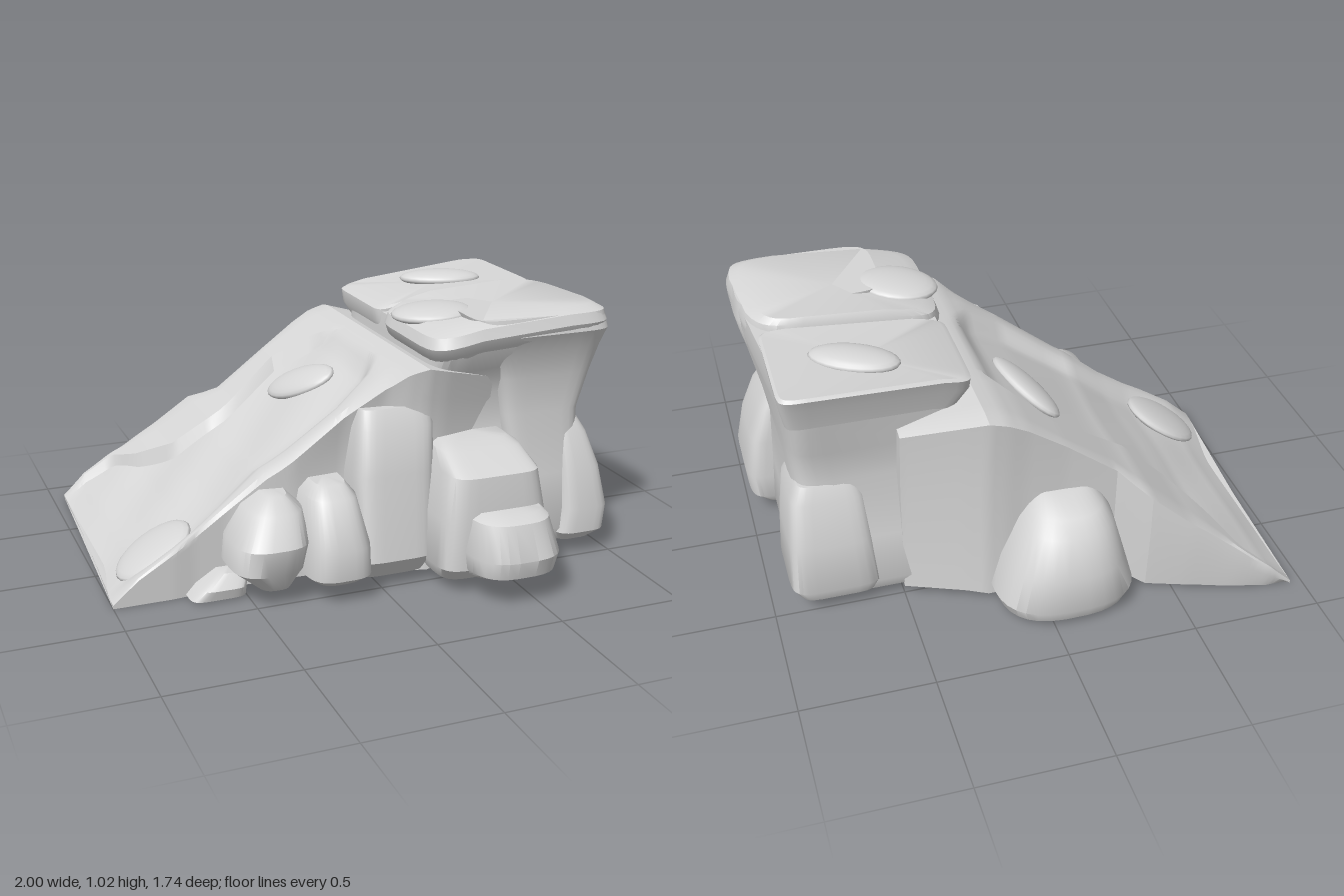
import * as THREE from 'three';
import { toCreasedNormals } from 'three/addons/utils/BufferGeometryUtils.js';

const stone = new THREE.MeshStandardMaterial({ color: 0xd6d6d6 });
stone.name = 'stone grey';

const step = (v, a, b) => THREE.MathUtils.smoothstep(v, a, b);

// Skin a stack of equal-length rings and close both ends.
function loft(rings, crease = 0.65) {
  const n = rings[0].length, pos = [], idx = [];
  rings.forEach(r => r.forEach(p => pos.push(...p)));
  for (let i = 0; i < rings.length - 1; i++) {
    for (let j = 0; j < n; j++) {
      const a = i * n + j, b = i * n + (j + 1) % n, c = b + n, d = a + n;
      idx.push(a, d, c, a, c, b);
    }
  }
  [0, rings.length - 1].forEach(i => {
    const c = pos.length / 3;
    pos.push(...[0, 1, 2].map(m => rings[i].reduce((s, p) => s + p[m], 0) / n));
    for (let j = 0; j < n; j++) {
      const a = i * n + j, b = i * n + (j + 1) % n;
      if (i) idx.push(c, b, a); else idx.push(c, a, b);
    }
  });
  const geo = new THREE.BufferGeometry();
  geo.setAttribute('position', new THREE.Float32BufferAttribute(pos, 3));
  geo.setIndex(idx);
  return toCreasedNormals(geo, crease);
}

// Rounded-block stone: each layer is [y, x0, x1, z0, z1]; warp may bend points.
function rockGeometry(layers, power = 5, warp = p => p) {
  const n = 32;
  const se = v => Math.sign(v) * Math.abs(v) ** (2 / power);
  return loft(layers.map(([y, x0, x1, z0, z1]) => Array.from({ length: n }, (_, j) => {
    const t = (j + 0.5) / n * Math.PI * 2;
    return warp([
      (x0 + x1) / 2 + se(Math.cos(t)) * (x1 - x0) / 2,
      y,
      (z0 + z1) / 2 + se(Math.sin(t)) * (z1 - z0) / 2,
    ]);
  })));
}

// Stations of the ramp: x, back z, front z, top y, bottom y, channel back z, channel front z
const STATIONS = [
  [-1.00, -0.87, 0.31, 0.015, 0.00, -0.85, 0.25],
  [-0.90, -0.87, 0.31, 0.105, 0.00, -0.85, 0.26],
  [-0.76, -0.84, 0.31, 0.195, 0.00, -0.81, 0.26],
  [-0.68, -0.82, 0.30, 0.245, 0.00, -0.65, 0.25],
  [-0.55, -0.79, 0.30, 0.335, 0.01, -0.48, 0.23],
  [-0.40, -0.75, 0.33, 0.455, 0.02, -0.41, 0.22],
  [-0.35, -0.69, 0.34, 0.485, 0.025, -0.41, 0.23],
  [-0.30, -0.63, 0.35, 0.52, 0.03, -0.42, 0.24],
  [-0.10, -0.63, 0.36, 0.67, 0.03, -0.48, 0.26],
  [0.05, -0.64, 0.40, 0.775, 0.03, -0.38, 0.21],
  [0.13, -0.65, 0.45, 0.82, 0.03, -0.30, 0.13],
  [0.20, -0.65, 0.47, 0.84, 0.03, -0.28, 0.10],
  [0.28, -0.62, 0.46, 0.82, 0.04, -0.28, 0.10],
  [0.50, -0.53, 0.40, 0.76, 0.04, -0.28, 0.10],
];

function station(x) {
  let i = 0;
  while (i < STATIONS.length - 2 && x > STATIONS[i + 1][0]) i++;
  const a = STATIONS[i], b = STATIONS[i + 1], t = (x - a[0]) / (b[0] - a[0]);
  return a.map((v, k) => v + (b[k] - v) * t);
}

function rampGeometry() {
  const rings = [], along = 60;
  for (let i = 0; i <= along; i++) {
    const x = -1 + 1.5 * i / along;
    const [, zb, zf, top, bot, cb, cf] = station(x);
    const inset = 0.05 * step(x, -0.5, 0.2), mid = bot + (top - bot) * 0.6;
    const depth = Math.min(0.055, (top - bot) * 0.22) * (1 - step(x, 0.05, 0.14));
    // front wall going up
    const ring = [[x, bot, zf], [x, mid, zf - inset], [x, bot + (top - bot) * 0.85, zf - inset * 0.5]];
    // sloping top; its columns follow the edges of the worn channel
    const marks = [zf, cf + 0.03, cf - 0.07, cb + 0.03, cb, zb];
    [3, 5, 16, 2, 6].forEach((parts, m) => {
      for (let j = 0; j < parts; j++) {
        const z = marks[m] + (marks[m + 1] - marks[m]) * j / parts;
        const inside = step(z, cb, cb + 0.03) * (1 - step(z, cf - 0.07, cf + 0.03));
        const ripple = 0.15 * Math.sin(x * 9 + z * 11);
        ring.push([x, top - depth * inside * (1 + ripple) - (m + j ? 0 : depth * 0.3), z]);
      }
    });
    // back wall going down
    ring.push([x, top - 0.01, zb], [x, mid, zb + inset * 0.6], [x, bot, zb + 0.02]);
    // slanted foot of the ramp
    const skew = 0.05 * (1 - step(x, -1, -0.6));
    ring.forEach(p => { p[0] += skew * (1 - step(p[2], -0.1, 0.28)); });
    rings.push(ring);
  }
  return loft(rings, 0.5);
}

export function createModel() {
  const model = new THREE.Group();
  const add = (name, geo) => {
    const mesh = new THREE.Mesh(geo, stone);
    mesh.name = name;
    model.add(mesh);
    return mesh;
  };
  const rock = (name, layers, power, warp) => add(name, rockGeometry(layers, power, warp));

  // The top of the cliff dips toward the ramp, is shorter at the back, and its back edge is skewed
  const dip = ([x, y, z]) => [
    x - 0.06 * (1 - step(z, -0.15, 0.25)) * step(x, 0.6, 0.95) * step(y, 0.55, 0.9),
    y - 0.06 * (1 - step(x, 0.15, 0.6)) * step(y, 0.6, 0.9),
    z + 0.05 * (1 - step(x, 0.2, 0.9)) * (1 - step(z, -0.5, -0.3)) * step(y, 0.55, 0.9),
  ];

  add('ramp', rampGeometry());

  // Tall flaring block at the high end, recessed under its front brow
  rock('cliffCore', [
    [0.05, 0.12, 0.87, -0.50, 0.44], [0.10, 0.12, 0.90, -0.52, 0.47], [0.30, 0.13, 0.89, -0.50, 0.44],
    [0.55, 0.16, 0.88, -0.45, 0.38], [0.70, 0.20, 0.915, -0.485, 0.38], [0.82, 0.23, 0.95, -0.515, 0.42],
    [0.91, 0.23, 0.97, -0.535, 0.475], [0.98, 0.24, 0.965, -0.55, 0.485],
  ], 9, dip);
  rock('frontButtress', [
    [0.06, 0.64, 0.84, 0.1, 0.45], [0.12, 0.62, 0.88, 0.1, 0.48], [0.35, 0.58, 0.87, 0.1, 0.455],
    [0.60, 0.54, 0.885, 0.1, 0.425], [0.75, 0.52, 0.93, 0.1, 0.435], [0.86, 0.48, 0.96, 0.1, 0.46],
    [0.93, 0.42, 0.975, 0.1, 0.495], [1.00, 0.40, 0.96, 0.1, 0.48],
  ], 6);

  // Two cap slabs with a narrow seam
  rock('frontCapSlab', [
    [0.86, 0.27, 0.955, -0.068, 0.44], [0.92, 0.22, 0.975, -0.07, 0.485], [0.96, 0.205, 0.978, -0.07, 0.50],
    [1.00, 0.22, 0.965, -0.068, 0.485], [1.02, 0.27, 0.93, -0.055, 0.44],
  ], 6.5, dip);
  rock('backCapSlab', [
    [0.85, 0.27, 0.955, -0.525, -0.074], [0.94, 0.22, 0.975, -0.55, -0.074],
    [0.99, 0.22, 0.98, -0.57, -0.074], [1.00, 0.24, 0.97, -0.56, -0.085],
  ], 14, dip);

  // Front boulders
  rock('frontPillar', [
    [0.04, -0.08, 0.20, 0.2, 0.48], [0.12, -0.10, 0.22, 0.2, 0.54], [0.45, -0.09, 0.23, 0.2, 0.50],
    [0.62, -0.07, 0.24, 0.22, 0.46], [0.69, -0.05, 0.24, 0.25, 0.42],
  ], 5);
  rock('frontBoulderLarge', [
    [0.05, 0.20, 0.60, 0.2, 0.64], [0.11, 0.17, 0.63, 0.2, 0.70], [0.30, 0.18, 0.61, 0.2, 0.71],
    [0.47, 0.21, 0.58, 0.2, 0.69], [0.53, 0.23, 0.56, 0.2, 0.56], [0.55, 0.26, 0.53, 0.22, 0.50],
  ], 6);
  rock('frontBoulderLow', [
    [0.08, 0.28, 0.56, 0.45, 0.74], [0.12, 0.26, 0.60, 0.45, 0.85], [0.19, 0.25, 0.61, 0.45, 0.87],
    [0.32, 0.27, 0.58, 0.45, 0.82], [0.34, 0.30, 0.56, 0.45, 0.78],
  ], 3);
  rock('frontBoulderMiddle', [
    [0.06, -0.27, -0.08, 0.2, 0.54], [0.10, -0.31, -0.05, 0.2, 0.60], [0.22, -0.31, -0.06, 0.2, 0.61],
    [0.39, -0.28, -0.09, 0.2, 0.52], [0.43, -0.24, -0.12, 0.22, 0.46],
  ], 3.5);
  rock('frontBoulderSmall', [
    [0.05, -0.48, -0.34, 0.2, 0.48], [0.14, -0.58, -0.30, 0.2, 0.55], [0.24, -0.57, -0.28, 0.2, 0.56],
    [0.35, -0.50, -0.29, 0.2, 0.49], [0.40, -0.43, -0.34, 0.22, 0.42],
  ], 3);
  rock('frontPebble', [
    [0.01, -0.72, -0.50, 0.2, 0.40], [0.05, -0.68, -0.50, 0.2, 0.41], [0.10, -0.60, -0.48, 0.2, 0.37],
  ]);

  // Boulders at the foot of the end wall
  rock('endBoulderFront', [
    [0.06, 0.78, 0.94, 0.13, 0.47], [0.10, 0.76, 0.99, 0.11, 0.51], [0.20, 0.78, 1.00, 0.11, 0.51],
    [0.36, 0.78, 0.97, 0.12, 0.48], [0.50, 0.78, 0.92, 0.13, 0.44], [0.56, 0.78, 0.885, 0.15, 0.41],
  ], 4.5);
  rock('endBoulderBack', [
    [0.06, 0.60, 0.90, -0.52, -0.16], [0.11, 0.58, 0.93, -0.54, -0.15], [0.30, 0.60, 0.92, -0.52, -0.16],
    [0.48, 0.62, 0.90, -0.48, -0.18], [0.54, 0.64, 0.87, -0.45, -0.20],
  ], 6);

  // Boulder against the back wall
  rock('backBoulder', [
    [0.03, -0.33, 0.17, -0.85, -0.4], [0.08, -0.35, 0.19, -0.87, -0.4], [0.22, -0.31, 0.15, -0.86, -0.4],
    [0.37, -0.27, 0.08, -0.81, -0.4], [0.42, -0.24, 0.04, -0.75, -0.42], [0.46, -0.20, 0.0, -0.64, -0.44],
  ], 2.7);

  // Flat pebbles on the top: x, y, z, length, width, turn, slope
  [
    ['capPebbleFront', 0.34, 0.975, 0.17, 0.16, 0.13, -0.5, 0.08],
    ['capPebbleBack', 0.61, 0.985, -0.33, 0.17, 0.085, -0.45, 0.03],
    ['rampPebble', -0.08, 0.64, -0.18, 0.18, 0.09, -0.95, 0.63],
    ['footPebble', -0.80, 0.135, 0.14, 0.17, 0.15, 0, 0.55],
  ].forEach(([name, x, y, z, length, width, turn, slope]) => {
    const pebble = add(name, new THREE.SphereGeometry(1, 24, 12));
    pebble.scale.set(length, 0.035, width);
    pebble.rotation.set(0, turn, slope, 'ZYX');
    pebble.position.set(x, y, z);
  });

  return model;
}
